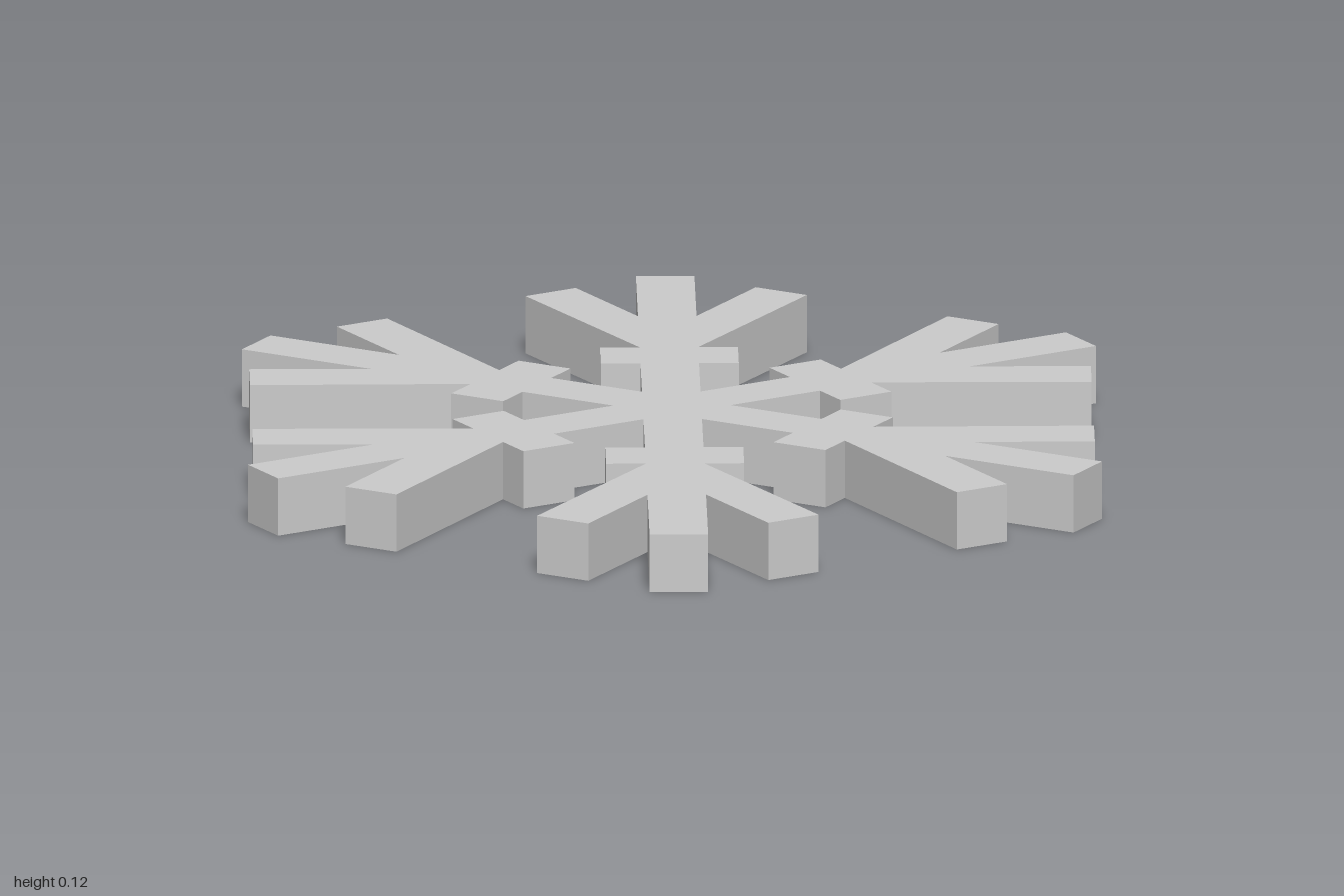
import * as THREE from 'three';

export function createModel() {
  const group = new THREE.Group();
  group.name = 'snowflake';

  // Right half of one arm pointing along +y, from tip to the valley at the centre
  const w = 0.0615; // half width of a bar
  const half = [
    [w, 1],
    [w, 0.691], // notch between spine and branch
    [0.189, 0.9115], [0.2955, 0.85], // branch tip
    [w, 0.45], [0.145, 0.45], [0.145, 0.325], [w, 0.325], // crossbar
  ];
  const valley = [w, w * Math.sqrt(3)];
  const mirrored = half.map(([x, y]) => [-x, y]).reverse();
  const arm = [...mirrored, ...half, valley]; // clockwise

  // Six arms joined into one outline
  const points = [];
  for (let i = 0; i < 6; i++) {
    const a = -i * Math.PI / 3;
    for (const [x, y] of arm) {
      points.push(new THREE.Vector2(x, y).rotateAround(new THREE.Vector2(), a));
    }
  }

  // Flat slab lying on the ground
  const geometry = new THREE.ExtrudeGeometry(new THREE.Shape(points), { depth: 0.125, bevelEnabled: false });
  geometry.rotateX(-Math.PI / 2);
  const body = new THREE.Mesh(geometry, new THREE.MeshStandardMaterial({ color: 0xcccccc, flatShading: true }));
  body.name = 'snowflakeBody';
  group.add(body);

  return group;
}
